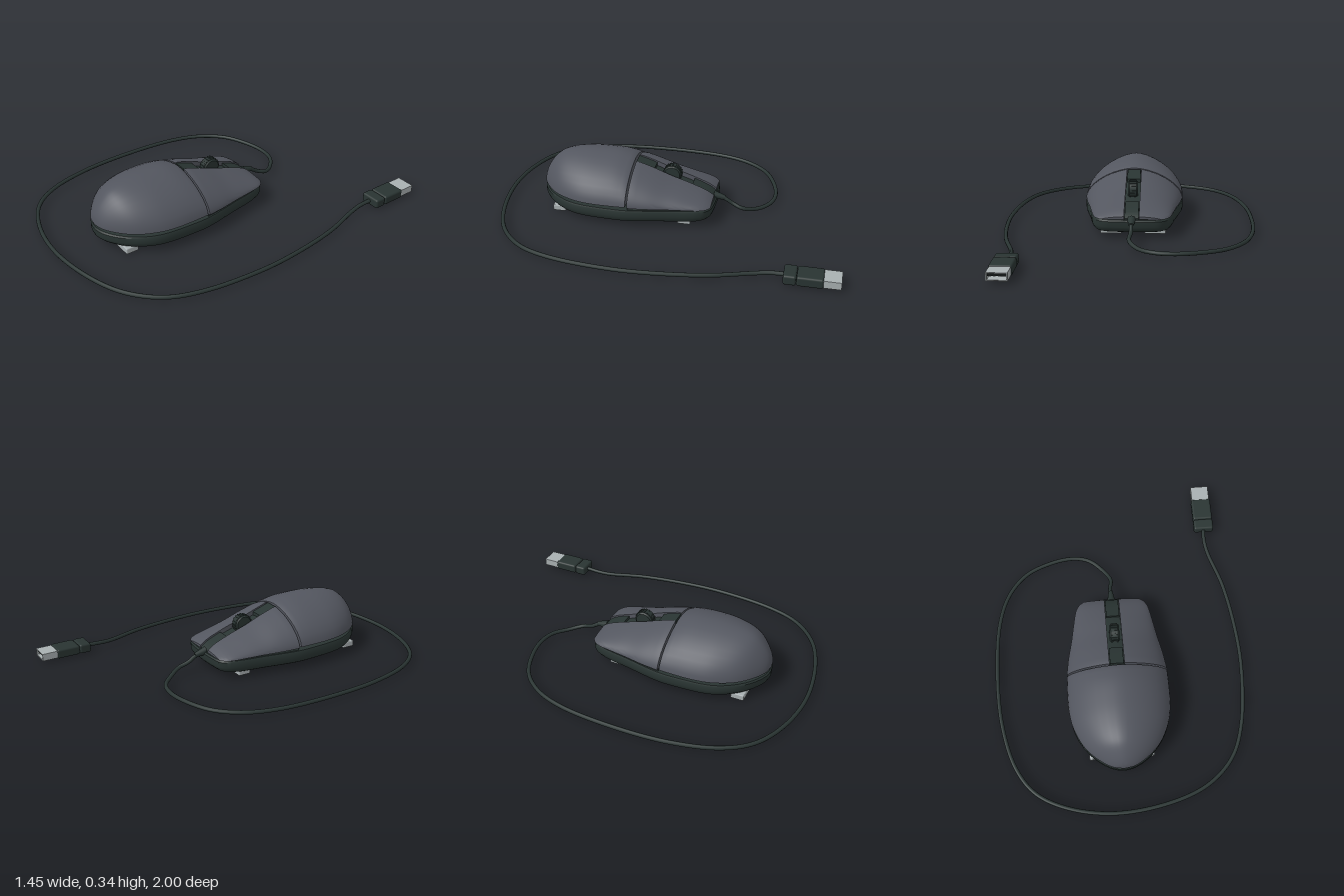
import * as THREE from 'three';
import { toCreasedNormals } from 'three/addons/utils/BufferGeometryUtils.js';
import { RoundedBoxGeometry } from 'three/addons/geometries/RoundedBoxGeometry.js';

const material = (name, color) => Object.assign(new THREE.MeshStandardMaterial({ color }), { name });
const V = (x, y, z) => new THREE.Vector3(x, y, z);

// Skins closed rings (counter-clockwise about their axis) and caps both ends
function loft(rings, crease = 0.6) {
  const n = rings[0].length, m = rings.length, pos = [], idx = [];
  const push = p => pos.push(p.x, p.y, p.z);
  rings.forEach(r => r.forEach(push));
  for (const r of [rings[0], rings[m - 1]]) {
    push(r.reduce((s, p) => s.add(p), V(0, 0, 0)).divideScalar(n));
  }
  for (let i = 0; i < n; i++) {
    const j = (i + 1) % n;
    for (let k = 0; k < m - 1; k++) {
      const a = k * n, b = a + n;
      idx.push(a + i, a + j, b + j, a + i, b + j, b + i);
    }
    idx.push(m * n, j, i, m * n + 1, (m - 1) * n + i, (m - 1) * n + j);
  }
  const g = new THREE.BufferGeometry();
  g.setAttribute('position', new THREE.Float32BufferAttribute(pos, 3));
  g.setIndex(idx);
  return toCreasedNormals(g, crease);
}

// Domed cross-section from the outer edge to x0, standing on height b
function dome(w, t, b, z, x0 = null, side = 1) {
  const e = 1.18, pts = [], n = 18;
  const end = x0 === null ? Math.PI : Math.acos(Math.pow(x0 / w, 1 / e));
  for (let i = 0; i <= n; i++) {
    const a = end * i / n, c = Math.cos(a);
    pts.push(V(side * w * Math.sign(c) * Math.pow(Math.abs(c), e),
      b + (t - b) * Math.pow(Math.max(0, Math.sin(a)), e), z));
  }
  if (x0 !== null) pts.push(V(side * x0, b, z));
  return side < 0 ? pts.reverse() : pts;
}

// Half width, top height and z along the body
const frontCurve = new THREE.CatmullRomCurve3([
  V(0.165, 0.134, -0.248), V(0.188, 0.147, -0.232), V(0.21, 0.166, -0.2), V(0.232, 0.205, -0.1),
  V(0.25, 0.238, 0), V(0.272, 0.277, 0.1), V(0.288, 0.312, 0.205)]);
const rearCurve = new THREE.CatmullRomCurve3([
  V(0.288, 0.314, 0.216), V(0.29, 0.334, 0.3), V(0.288, 0.34, 0.4), V(0.272, 0.339, 0.5),
  V(0.23, 0.326, 0.6), V(0.186, 0.303, 0.66), V(0.122, 0.25, 0.715), V(0.06, 0.19, 0.75), V(0.006, 0.14, 0.76)]);

export function createModel() {
  const shellMat = material('slate grey shell', 0x53565f);
  const darkMat = material('dark green grey', 0x293432);
  const metalMat = material('pale metal', 0xa9b0b2);
  const blackMat = material('black recess', 0x141818);

  const model = new THREE.Group();
  const mouse = new THREE.Group();
  mouse.name = 'mouseBody';
  mouse.position.x = -0.02;
  model.add(mouse);
  const add = (parent, name, geo, mat, x = 0, y = 0, z = 0) => {
    const mesh = new THREE.Mesh(geo, mat);
    mesh.name = name;
    mesh.position.set(x, y, z);
    parent.add(mesh);
    return mesh;
  };

  // Base tray: the plan outline scaled through its height
  const half = new THREE.CatmullRomCurve3([
    [0, -0.262], [0.09, -0.258], [0.165, -0.245], [0.207, -0.2], [0.25, 0], [0.288, 0.2], [0.29, 0.3],
    [0.272, 0.5], [0.23, 0.6], [0.15, 0.695], [0.06, 0.75], [0, 0.762]].map(([x, z]) => V(-x, 0, z))).getPoints(44);
  const outline = [...half, ...half.slice(1, -1).reverse().map(p => V(-p.x, 0, p.z))];
  const layers = [[0.036, 0.91], [0.045, 0.96], [0.06, 0.99], [0.075, 1], [0.105, 1], [0.114, 0.985]];
  add(mouse, 'base', loft(layers.map(([y, s]) =>
    outline.map(p => V(p.x * s, y, 0.25 + (p.z - 0.25) * s)))), darkMat);

  // Rear palm shell, with a softened front edge
  const rear = rearCurve.getPoints(40);
  add(mouse, 'palmShell', loft(rear.map((p, i) =>
    dome(p.x, p.y - (i ? 0 : 0.006), 0.135, p.z))), shellMat);

  // Dark inner body beneath the two buttons
  const front = frontCurve.getPoints(30);
  add(mouse, 'innerBody', loft(front.map(p => dome(p.x * 0.965, p.y - 0.028, 0.1, p.z))), darkMat);

  // Left and right buttons either side of the centre channel
  for (const side of [1, -1]) {
    add(mouse, side > 0 ? 'leftButton' : 'rightButton', loft(front.map((p, i) =>
      dome(p.x, p.y - (i === front.length - 1 ? 0.006 : 0), 0.117 + (p.z + 0.25) * 0.03, p.z, 0.042, side))), shellMat);
  }

  // Centre strip panels in front of and behind the wheel
  for (const [name, z0, z1] of [['frontStrip', -0.25, -0.1], ['rearStrip', 0.09, 0.206]]) {
    const run = front.filter(p => p.z > z0 && p.z < z1);
    add(mouse, name, loft(run.map(p => [V(0.038, p.y - 0.04, p.z), V(0.038, p.y - 0.01, p.z),
      V(-0.038, p.y - 0.01, p.z), V(-0.038, p.y - 0.04, p.z)])), darkMat);
  }

  // Scroll wheel with grip ribs
  const wheel = new THREE.Group();
  wheel.name = 'scrollWheel';
  wheel.position.set(0, 0.23, 0);
  mouse.add(wheel);
  const tyre = [[0, -0.028], [0.044, -0.028], [0.051, -0.02], [0.051, 0.02], [0.044, 0.028], [0, 0.028]];
  const tyreGeo = new THREE.LatheGeometry(tyre.map(([r, y]) => new THREE.Vector2(r, y)), 28);
  add(wheel, 'wheelTyre', toCreasedNormals(tyreGeo.rotateZ(Math.PI / 2), 0.5), darkMat);
  for (let i = 0; i < 20; i++) {
    const a = i * Math.PI / 10;
    add(wheel, 'wheelRib', new THREE.BoxGeometry(0.038, 0.008, 0.007), darkMat,
      0, 0.051 * Math.cos(a), 0.051 * Math.sin(a)).rotation.x = a;
  }

  // Glide feet, sensor window and screws underneath
  for (const x of [-0.13, 0.12]) {
    for (const z of [-0.098, 0.638]) {
      add(mouse, 'foot', new RoundedBoxGeometry(0.12, 0.036, 0.075, 2, 0.006), metalMat, x, 0.021, z);
    }
  }
  add(mouse, 'sensorRecess', new THREE.BoxGeometry(0.1, 0.006, 0.09), blackMat, 0, 0.035, 0.26);
  add(mouse, 'sensorWindow', new THREE.BoxGeometry(0.04, 0.006, 0.05), darkMat, 0.02, 0.033, 0.26);
  for (const z of [-0.03, 0.54]) {
    add(mouse, 'screw', new THREE.CylinderGeometry(0.009, 0.009, 0.006, 12), metalMat, 0, 0.035, z);
  }

  // Strain relief
  const relief = new THREE.CylinderGeometry(0.013, 0.024, 0.07, 16).rotateX(-Math.PI / 2);
  add(mouse, 'strainRelief', relief, darkMat, 0, 0.108, -0.275).rotation.x = -0.2;

  // Cable looping round the body to the plug
  const y = 0.027;
  const path = [V(-0.02, 0.11, -0.26), V(-0.02, 0.095, -0.31), V(-0.02, 0.07, -0.35), V(-0.012, 0.047, -0.41),
    ...[[-0.06, -0.49], [-0.14, -0.558], [-0.245, -0.578], [-0.39, -0.55], [-0.525, -0.485], [-0.63, -0.36],
      [-0.69, -0.185], [-0.715, 0.13], [-0.695, 0.45], [-0.625, 0.7], [-0.52, 0.845], [-0.34, 0.94],
      [-0.075, 0.985], [0.24, 0.945], [0.45, 0.86], [0.595, 0.72], [0.67, 0.53], [0.711, 0.185],
      [0.7, -0.08], [0.66, -0.34], [0.595, -0.555]].map(([x, z]) => V(x, y, z)),
    V(0.582, 0.033, -0.64), V(0.585, 0.037, -0.72)];
  add(model, 'cable', new THREE.TubeGeometry(new THREE.CatmullRomCurve3(path), 220, 0.0115, 10), darkMat);

  // Plug: grip, collar, hollow metal sleeve, tongue and contacts
  const plug = new THREE.Group();
  plug.name = 'plug';
  plug.position.set(0.587, 0.038, 0);
  model.add(plug);
  add(plug, 'plugGrip', new RoundedBoxGeometry(0.118, 0.055, 0.138, 3, 0.012), darkMat, 0, 0, -0.842);
  add(plug, 'plugCollar', new RoundedBoxGeometry(0.118, 0.055, 0.068, 3, 0.012), darkMat, 0, 0, -0.738);
  const rect = (C, w, h) => {
    const s = new C();
    s.moveTo(-w, -h);
    s.lineTo(w, -h);
    s.lineTo(w, h);
    s.lineTo(-w, h);
    s.closePath();
    return s;
  };
  const sleeve = rect(THREE.Shape, 0.053, 0.021);
  sleeve.holes.push(rect(THREE.Path, 0.047, 0.016));
  add(plug, 'plugSleeve', new THREE.ExtrudeGeometry(sleeve, { depth: 0.095, bevelEnabled: false }), metalMat, 0, 0, -1);
  add(plug, 'plugTongue', new THREE.BoxGeometry(0.092, 0.014, 0.085), blackMat, 0, 0.008, -0.949);
  for (let i = 0; i < 4; i++) {
    add(plug, 'plugContact', new THREE.BoxGeometry(0.011, 0.003, 0.08), metalMat, -0.033 + i * 0.022, 0, -0.95);
  }
  return model;
}
